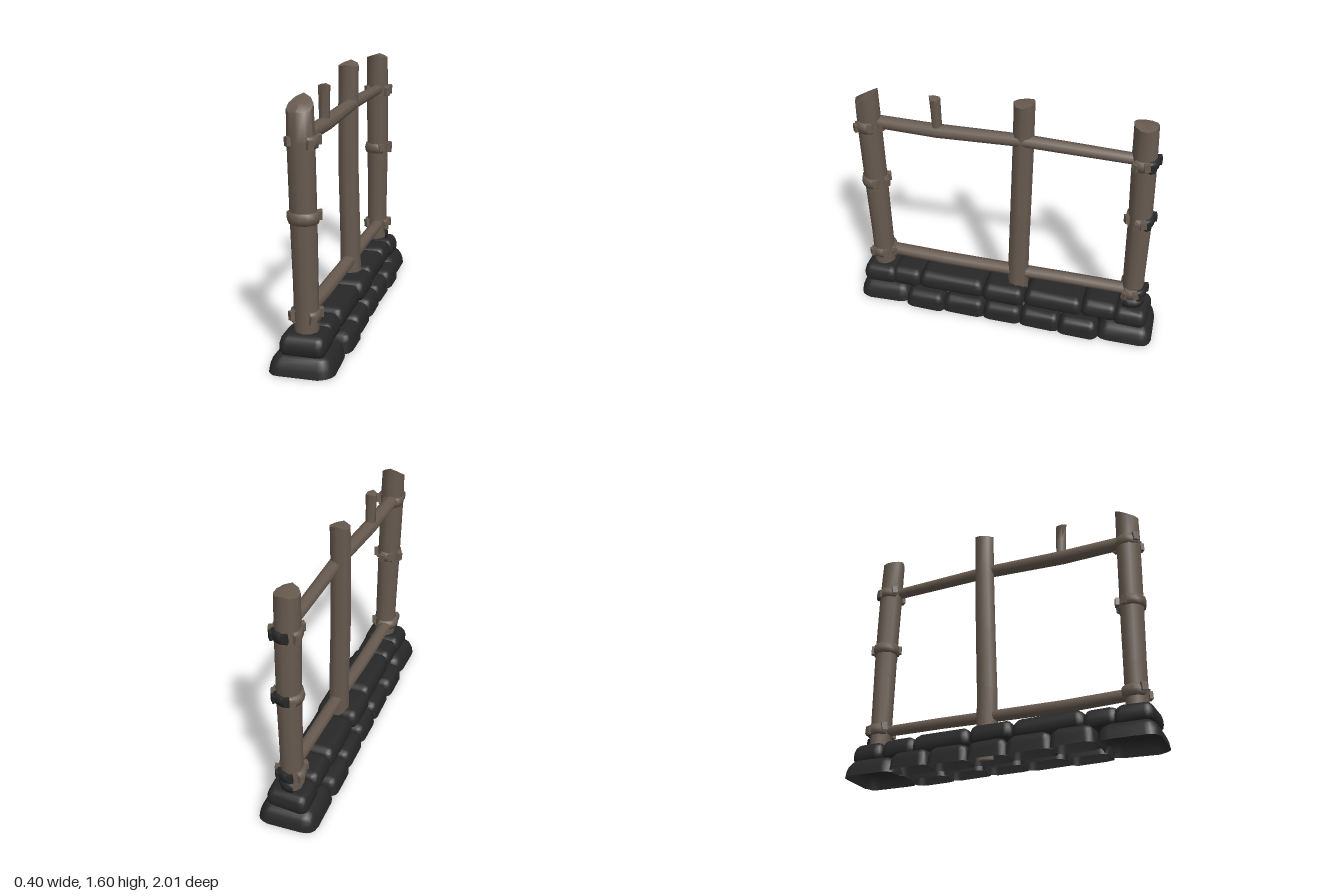
import * as THREE from 'three';
import { mergeVertices, toCreasedNormals } from 'three/addons/utils/BufferGeometryUtils.js';
import { RoundedBoxGeometry } from 'three/addons/geometries/RoundedBoxGeometry.js';

const wood = new THREE.MeshStandardMaterial({ color: 0x675a4f, side: THREE.DoubleSide });
wood.name = 'weathered wood';
const stone = new THREE.MeshStandardMaterial({ color: 0x272727, side: THREE.DoubleSide });
stone.name = 'dark stone';

let seed = 7;
const rand = () => ((seed = (seed * 16807) % 2147483647) / 2147483647) * 2 - 1;

function add(parent, name, geometry, material) {
  const mesh = new THREE.Mesh(geometry, material);
  mesh.name = name;
  parent.add(mesh);
  return mesh;
}

// Log through stations [x, y, z, radius]; axis is 'y' for uprights and 'z' for rails.
// tilt slants the top of an upright along z, and its sides are hewn down along x.
function log(stations, axis, sides = 8, tilt = 0) {
  const n = stations.length - 1;
  const g = new THREE.CylinderGeometry(1, 1, n, sides, n);
  const p = g.attributes.position;
  for (let i = 0; i < p.count; i++) {
    const k = Math.round(p.getY(i) + n / 2);
    const [x, y, z, r] = stations[k];
    const a = p.getX(i) * r, b = p.getZ(i) * r;
    const top = k === n ? b * tilt - Math.abs(a) * 0.3 : 0;
    if (axis === 'y') p.setXYZ(i, x + a, y + top, z + b);
    else p.setXYZ(i, x + a * 1.2, y - b, z);
  }
  return toCreasedNormals(g, 1.06);
}

// Rounded, slightly irregular stone with a narrower top. An open one is a dome
// with upright sides and no underside.
function boulder(w, h, d, open) {
  const full = open ? h * 2 : h;
  let g = new RoundedBoxGeometry(w, full, d, 2, Math.min(w, full, d) * (open ? 0.34 : 0.42));
  g.deleteAttribute('normal');
  g.deleteAttribute('uv');
  g.clearGroups();
  g = mergeVertices(g, 1e-4);
  const p = g.attributes.position;
  if (open) {
    const kept = [];
    for (let i = 0; i < g.index.count; i += 3) {
      const tri = [0, 1, 2].map((k) => g.index.getX(i + k));
      if (tri.some((v) => p.getY(v) > 0)) kept.push(...tri);
    }
    g.setIndex(kept);
    for (let i = 0; i < p.count; i++) p.setY(i, Math.max(p.getY(i), 0) - h / 2);
  }
  const lean = rand() * 0.05, skew = rand() * 0.05;
  for (let i = 0; i < p.count; i++) {
    const x = p.getX(i), y = p.getY(i), z = p.getZ(i);
    const s = 1 - 0.1 * (y / h + 0.5);
    p.setXYZ(i, x * s * (1 + skew * z / d), y + z * lean * 0.3 + rand() * 0.003, z * s + x * lean);
  }
  g.computeVertexNormals();
  return g;
}

// Strap round a post: an arc from angle a to b (degrees, 0 faces +z, 90 faces +x).
function strap(a, b) {
  const profile = [[0.064, -0.034], [0.084, -0.031], [0.09, 0], [0.084, 0.031], [0.064, 0.034]]
    .map(([x, y]) => new THREE.Vector2(x, y));
  const rad = Math.PI / 180;
  return new THREE.LatheGeometry(profile, Math.max(2, Math.round((b - a) / 30)), a * rad, (b - a) * rad);
}

function binding(name, x, y, z, arcs) {
  const g = new THREE.Group();
  g.name = name;
  g.position.set(x, y, z);
  for (const [from, to, material] of arcs) {
    add(g, 'strap', strap(from, to), material);
    // folded ends of the strap
    [from + 10, to - 10].forEach((deg, i) => {
      const t = deg * Math.PI / 180;
      const end = add(g, 'strapEnd', new THREE.BoxGeometry(0.035, 0.05, 0.024), material);
      end.position.set(Math.sin(t) * 0.087, i ? 0.01 : -0.006, Math.cos(t) * 0.087);
      end.rotation.set(0, t, i ? 0.12 : -0.1);
    });
  }
  return g;
}

export function createModel() {
  const model = new THREE.Group();
  model.name = 'fence';

  // Upright posts
  add(model, 'frontPost', log([[0.003, 0.1, 0.848, 0.07], [0, 0.5, 0.852, 0.07], [-0.006, 0.9, 0.86, 0.074],
    [-0.012, 1.3, 0.868, 0.075], [-0.015, 1.505, 0.87, 0.072]], 'y', 10, -0.55), wood);
  add(model, 'backPost', log([[0, 0.1, -0.842, 0.065], [0, 0.5, -0.838, 0.068], [0, 0.9, -0.835, 0.072],
    [-0.003, 1.3, -0.822, 0.074], [-0.003, 1.565, -0.812, 0.071]], 'y', 10, 0.03), wood);
  add(model, 'middlePost', log([[0.005, 0.04, -0.085, 0.07], [-0.002, 0.5, -0.088, 0.067], [-0.015, 0.9, -0.095, 0.066],
    [-0.02, 1.3, -0.103, 0.065], [-0.018, 1.592, -0.107, 0.064]], 'y', 8, -0.16), wood);

  // Rails and the short peg
  add(model, 'topRail', log([[0.01, 1.325, -0.83, 0.026], [0.008, 1.327, -0.74, 0.033], [0.004, 1.338, -0.1, 0.037],
    [-0.012, 1.31, 0.43, 0.041], [-0.022, 1.31, 0.85, 0.039]], 'z'), wood);
  add(model, 'bottomRail', log([[0.01, 0.34, -0.83, 0.035], [0.005, 0.335, -0.4, 0.036], [0, 0.325, -0.05, 0.037],
    [-0.01, 0.312, 0.43, 0.039], [-0.015, 0.318, 0.85, 0.037]], 'z'), wood);
  add(model, 'peg', log([[-0.014, 1.31, 0.43, 0.033], [-0.014, 1.43, 0.432, 0.033], [-0.014, 1.54, 0.436, 0.036]],
    'y', 6, 0.1), wood);

  // Bindings on the end posts
  const frontSplit = [[35, 125, wood], [160, 325, wood]];
  const frontRound = [[-115, 120, wood], [155, 215, wood]];
  const backSplit = [[50, 118, wood], [118, 205, stone], [230, 325, wood]];
  const backRound = [[75, 120, wood], [120, 205, stone], [205, 400, wood]];
  [[0.325, 0.85, -0.84], [0.89, 0.86, -0.835], [1.3, 0.866, -0.822]].forEach(([y, zf, zb], i) => {
    model.add(binding('frontBinding', -0.004, y, zf, i === 1 ? frontRound : frontSplit));
    model.add(binding('backBinding', 0, y + 0.015, zb, i === 1 ? backRound : backSplit));
  });
  add(model, 'backPostCollar', strap(60, 200), stone).position.set(-0.006, 0.262, -0.834);

  // Stone footing
  const footing = new THREE.Group();
  footing.name = 'stoneFooting';
  model.add(footing);
  const lay = (name, x, y, z0, z1, w, h, open) =>
    add(footing, name, boulder(w, h, z1 - z0 + 0.022, open), stone).position.set(x, y, (z0 + z1) / 2);

  // lower course: wide end stones, pairs along the sides
  lay('endStone', -0.005, 0.07, 0.645, 0.988, 0.37, 0.115, true);
  lay('endStone', -0.005, 0.07, -0.988, -0.645, 0.37, 0.115, true);
  const cuts = [-0.65, -0.4, -0.14, 0.11, 0.385, 0.64];
  for (let i = 0; i < cuts.length - 1; i++) {
    const bulge = i % 4 === 0 ? 0.012 : 0;
    for (const side of [-1, 1])
      lay('sideStone', side * (0.108 + bulge), 0.07, cuts[i], cuts[i + 1], 0.16, 0.115, true);
  }

  // upper course: one stone across
  [[0.74, 0.965, 0.28, 0.17], [0.56, 0.765, 0.26, 0.172], [0.12, 0.575, 0.27, 0.182], [-0.15, 0.13, 0.3, 0.18],
    [-0.54, -0.15, 0.27, 0.18], [-0.76, -0.53, 0.26, 0.178], [-0.955, -0.75, 0.28, 0.17]]
    .forEach(([z0, z1, w, y]) => lay('topStone', 0, y, z0, z1, w, 0.13, false));

  return model;
}
